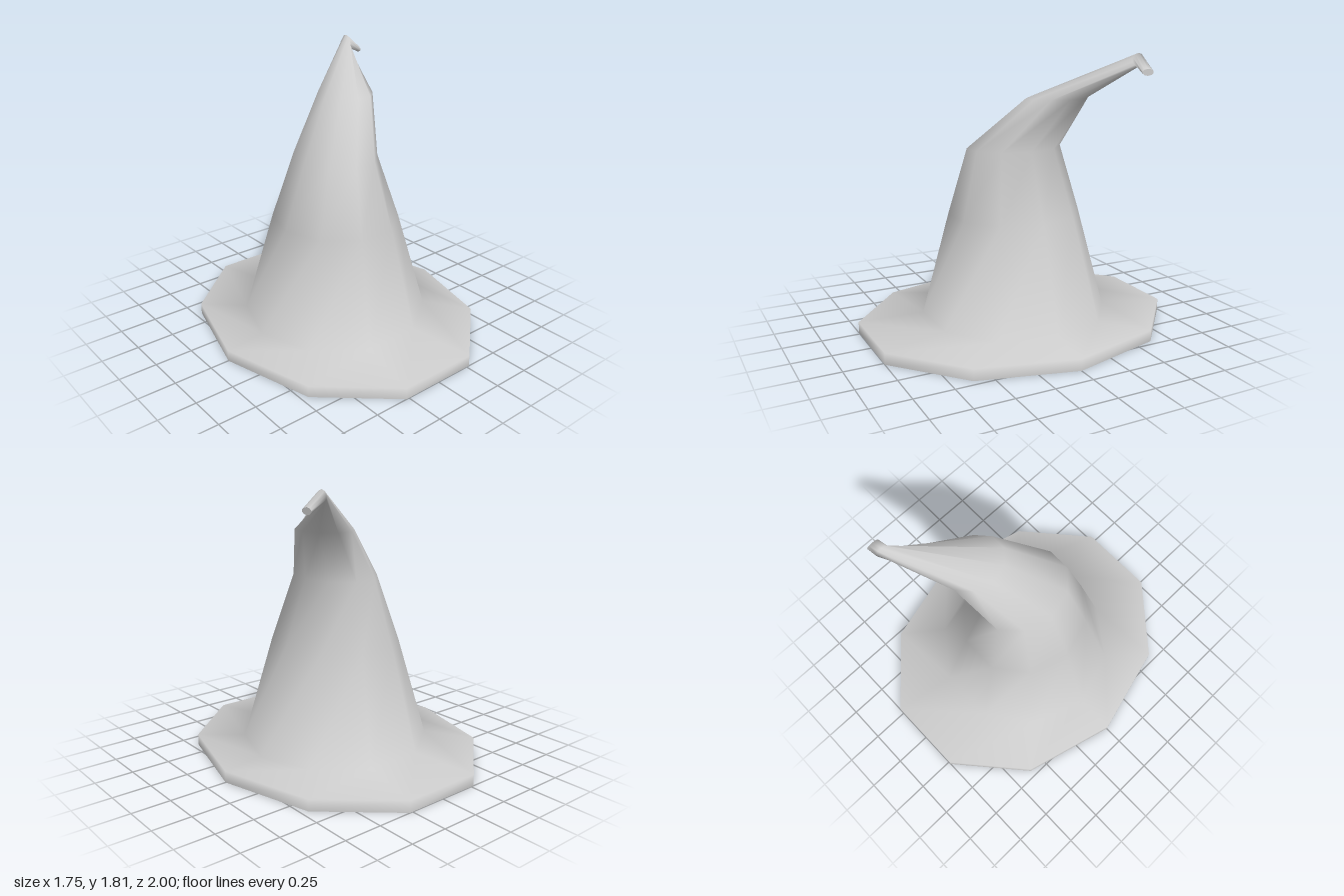
import * as THREE from 'three';

const SIDES = 10;

// Each ring: centre c, u = half-axis at angle 0, rz = half-axis along z
const RINGS = [
  { c: [0, 0, 0], u: [0.873, 0], rz: 1.051 },             // brim bottom
  { c: [0, 0.075, 0], u: [0.873, 0], rz: 1.051 },         // brim top edge
  { c: [0, 0.1, 0], u: [0.61, 0], rz: 0.612 },            // foot of the cone
  { c: [0, 0.77, 0], u: [0.404, 0], rz: 0.437 },
  { c: [0, 1.2, 0], u: [0.243, 0], rz: 0.315 },           // start of the bend
  { c: [0.235, 1.53, -0.185], u: [0.165, 0], rz: 0.205 },
  { c: [0.553, 1.77, -0.56], u: [0, -0.04], rz: 0.042 },  // crook of the tip
  { c: [0.655, 1.70, -0.56], u: [0, -0.021], rz: 0.042 }, // end of the tip
];

function ringPoint({ c, u, rz }, i) {
  const a = (i / SIDES) * Math.PI * 2;
  return [c[0] + u[0] * Math.cos(a), c[1] + u[1] * Math.cos(a), c[2] + rz * Math.sin(a)];
}

function build(points, index) {
  const geo = new THREE.BufferGeometry();
  geo.setAttribute('position', new THREE.Float32BufferAttribute(points.flat(), 3));
  geo.setIndex(index);
  geo.computeVertexNormals();
  return geo;
}

// Smooth skin through a list of rings
function loft(rings) {
  const points = [], index = [];
  rings.forEach((ring, j) => {
    for (let i = 0; i < SIDES; i++) {
      points.push(ringPoint(ring, i));
      if (j === rings.length - 1) continue;
      const a = j * SIDES + i, b = j * SIDES + (i + 1) % SIDES;
      index.push(a, a + SIDES, b, b, a + SIDES, b + SIDES);
    }
  });
  return build(points, index);
}

// Flat fan closing one ring
function cap(ring, flip) {
  const points = [ring.c], index = [];
  for (let i = 0; i < SIDES; i++) {
    points.push(ringPoint(ring, i));
    const a = i + 1, b = (i + 1) % SIDES + 1;
    index.push(0, ...(flip ? [b, a] : [a, b]));
  }
  return build(points, index);
}

export function createModel() {
  const group = new THREE.Group();
  group.name = 'pointedHat';
  const material = new THREE.MeshStandardMaterial({ color: 0xcccccc });
  const add = (name, geo) => {
    const mesh = new THREE.Mesh(geo, material);
    mesh.name = name;
    group.add(mesh);
  };
  add('brimAndCone', loft(RINGS));
  add('brimUnderside', cap(RINGS[0], false));
  add('tipEnd', cap(RINGS[RINGS.length - 1], true));
  return group;
}
